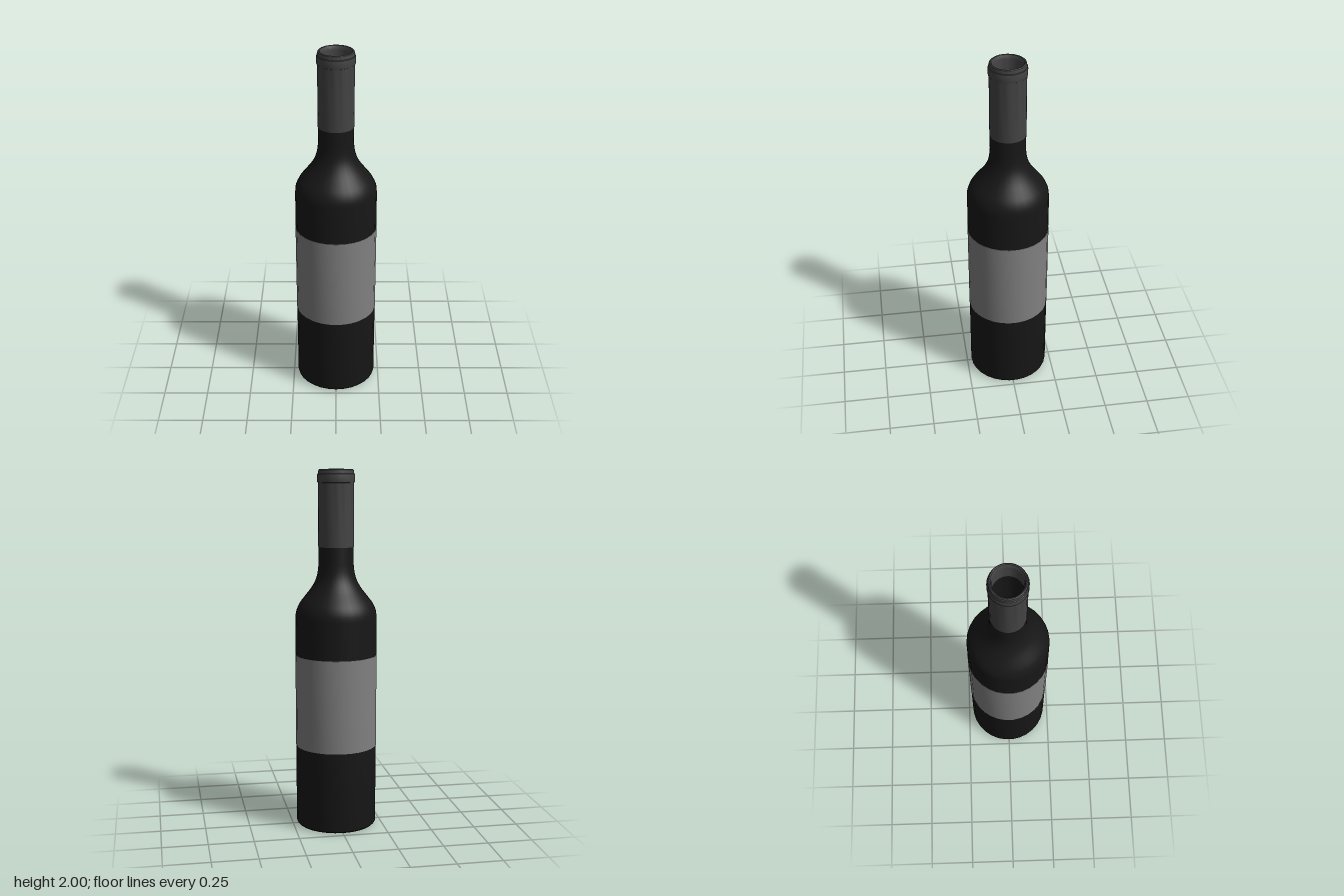
import * as THREE from 'three';
import { toCreasedNormals } from 'three/addons/utils/BufferGeometryUtils.js';

const SIDES = 30;

// Revolve a profile of [radius, height] pairs; edges sharper than the crease stay crisp
function turned(name, profile, color) {
  const points = profile.map(([r, y]) => new THREE.Vector2(r, y));
  const geometry = toCreasedNormals(new THREE.LatheGeometry(points, SIDES), 0.6);
  const material = new THREE.MeshStandardMaterial({ color, side: THREE.DoubleSide });
  const mesh = new THREE.Mesh(geometry, material);
  mesh.name = name;
  return mesh;
}

// Smooth S-curve from the body up into the neck
function shoulder(offset) {
  const curve = new THREE.SplineCurve([
    [0.226, 1.19], [0.222, 1.225], [0.205, 1.265], [0.175, 1.305],
    [0.14, 1.35], [0.115, 1.395], [0.102, 1.44], [0.097, 1.49],
  ].map(([r, y]) => new THREE.Vector2(r - offset, y)));
  return curve.getPoints(18).map((p) => [p.x, p.y]);
}

export function createModel() {
  const bottle = new THREE.Group();
  bottle.name = 'bottle';

  // Glass shell: hollowed base, body, shoulder and neck, then back down the inside
  bottle.add(turned('glass', [
    [0, 0.06], [0.07, 0.052], [0.14, 0.032], [0.19, 0.008], [0.205, 0],
    [0.217, 0.002], [0.224, 0.009], [0.226, 0.02],
    ...shoulder(0),
    [0.097, 1.93], [0.08, 1.93],
    ...shoulder(0.017).reverse(),
    [0.209, 0.04], [0.19, 0.03], [0.14, 0.05], [0.07, 0.07], [0, 0.078],
  ], 0x171717));

  // Paper label wrapped all the way round the body
  bottle.add(turned('label', [
    [0.2255, 0.46], [0.2275, 0.46], [0.2275, 0.98], [0.2255, 0.98],
  ], 0x808080));

  // Foil sleeve with raised collar and rounded lip, turned into the mouth
  bottle.add(turned('foilSleeve', [
    [0.096, 1.58], [0.0985, 1.58], [0.0985, 1.928],
    [0.102, 1.93], [0.103, 1.934], [0.103, 1.97], [0.102, 1.975],
    [0.098, 1.977], [0.098, 1.988], [0.096, 1.996], [0.091, 2],
    [0.086, 1.998], [0.081, 1.99], [0.079, 1.975], [0.079, 1.88],
  ], 0x444444));

  return bottle;
}
